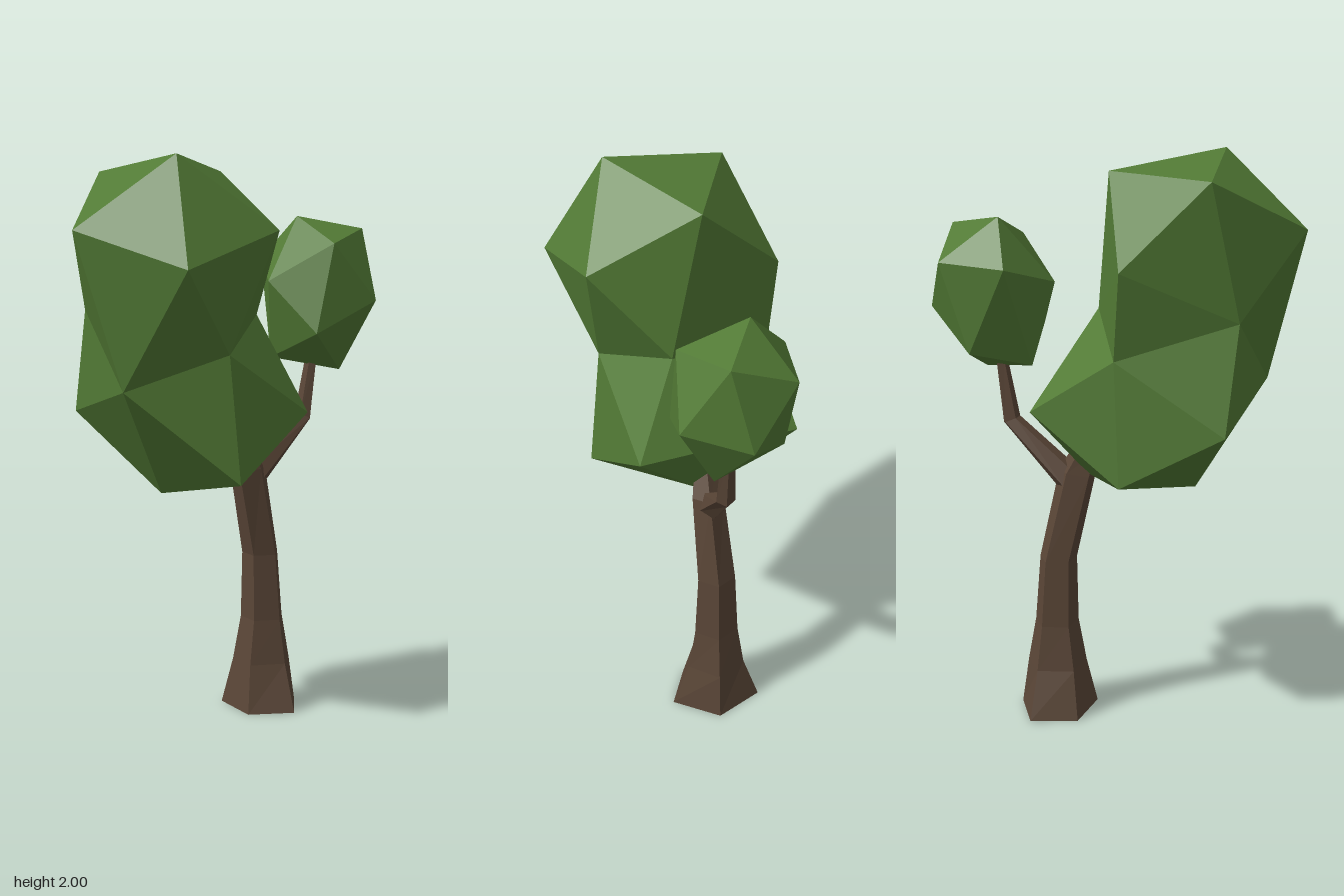
import * as THREE from 'three';
import { ConvexGeometry } from 'three/addons/geometries/ConvexGeometry.js';

const SIDES = 5;

// Pentagon ring, tilted in the xy plane
function ring([cx, cy, cz, rx, rz, tilt = 0]) {
  return Array.from({ length: SIDES }, (_, j) => {
    const a = (j / SIDES) * Math.PI * 2;
    const u = rx * Math.cos(a);
    return [cx + u * Math.cos(tilt), cy + u * Math.sin(tilt), cz + rz * Math.sin(a)];
  });
}

function facets(points) {
  const g = new THREE.BufferGeometry();
  g.setAttribute('position', new THREE.Float32BufferAttribute(points.flat(), 3));
  g.computeVertexNormals();
  return g;
}

// Skin a list of rings and close the far end
function limb(sections) {
  const rings = sections.map(ring);
  const pts = [];
  for (let i = 0; i < rings.length - 1; i++) {
    for (let j = 0; j < SIDES; j++) {
      const k = (j + 1) % SIDES;
      const [a, b, c, d] = [rings[i][j], rings[i][k], rings[i + 1][j], rings[i + 1][k]];
      pts.push(a, c, b, b, c, d);
    }
  }
  const end = rings[rings.length - 1];
  for (let j = 1; j < SIDES - 1; j++) pts.push(end[0], end[j + 1], end[j]);
  return facets(pts);
}

const hull = (points) => new ConvexGeometry(points.map((p) => new THREE.Vector3(...p)));

export function createModel() {
  const tree = new THREE.Group();
  tree.name = 'tree';
  const leaf = new THREE.MeshStandardMaterial({ color: 0x527a35 });
  leaf.name = 'leafGreen';
  const bark = new THREE.MeshStandardMaterial({ color: 0x5a4637 });
  bark.name = 'barkBrown';
  for (const m of [leaf, bark]) m.flatShading = true;

  const add = (name, geometry, material) => {
    const mesh = new THREE.Mesh(geometry, material);
    mesh.name = name;
    tree.add(mesh);
  };

  // Trunk: flared foot, leaning top
  const foot = [0.186, 0, -0.12, 0.14, 0.168];
  add('trunk', limb([
    foot,
    [0.19, 0.17, -0.12, 0.11, 0.107],
    [0.19, 0.33, -0.12, 0.08, 0.082],
    [0.182, 0.57, -0.12, 0.068, 0.07],
    [0.115, 0.89, -0.097, 0.068, 0.058, 0.15],
    [0.07, 0.99, -0.095, 0.045, 0.04, 0.35],
  ]), bark);

  // Underside of the trunk
  const base = ring(foot);
  const cap = [];
  for (let j = 1; j < SIDES - 1; j++) cap.push(base[0], base[j], base[j + 1]);
  add('trunkUnderside', facets(cap), leaf);

  // Side branch
  add('branch', limb([
    [0.13, 0.85, -0.105, 0.055, 0.045, -0.8],
    [0.355, 1.06, -0.115, 0.032, 0.034, -0.4],
    [0.39, 1.28, -0.115, 0.02, 0.025, -0.1],
  ]), bark);

  // Large crown: two faceted lumps that share a waist
  const waist = [
    [0.08, 1.45, 0.02], [-0.15, 1.34, 0.24], [-0.495, 1.225, 0.14],
    [-0.485, 1.475, -0.17], [-0.11, 1.355, -0.34],
  ];
  add('crownUpper', hull([
    ...waist,
    [-0.32, 2, 0.19], [-0.64, 1.755, 0.075], [0, 1.94, -0.09], [-0.4, 1.94, -0.225],
    [-0.385, 1.635, 0.39], [0.01, 1.75, 0.29], [-0.14, 1.655, -0.375],
  ]), leaf);
  add('crownLower', hull([
    ...waist,
    [0.21, 1.115, 0.15], [-0.13, 0.905, 0.28], [-0.285, 0.85, 0], [0.08, 0.885, -0.09],
    [0.165, 1.175, -0.395], [-0.475, 1.115, -0.28], [-0.14, 0.935, -0.375],
  ]), leaf);

  // Small crown on the branch
  add('smallCrown', hull([
    [0.365, 1.78, -0.18], [0.58, 1.735, -0.08], [0.635, 1.45, -0.15], [0.53, 1.635, -0.305],
    [0.29, 1.625, -0.31], [0.195, 1.555, -0.095], [0.375, 1.69, 0.055], [0.543, 1.485, 0.07],
    [0.3, 1.375, 0.063], [0.47, 1.23, -0.055], [0.43, 1.325, -0.29], [0.25, 1.275, -0.17],
  ]), leaf);

  return tree;
}
